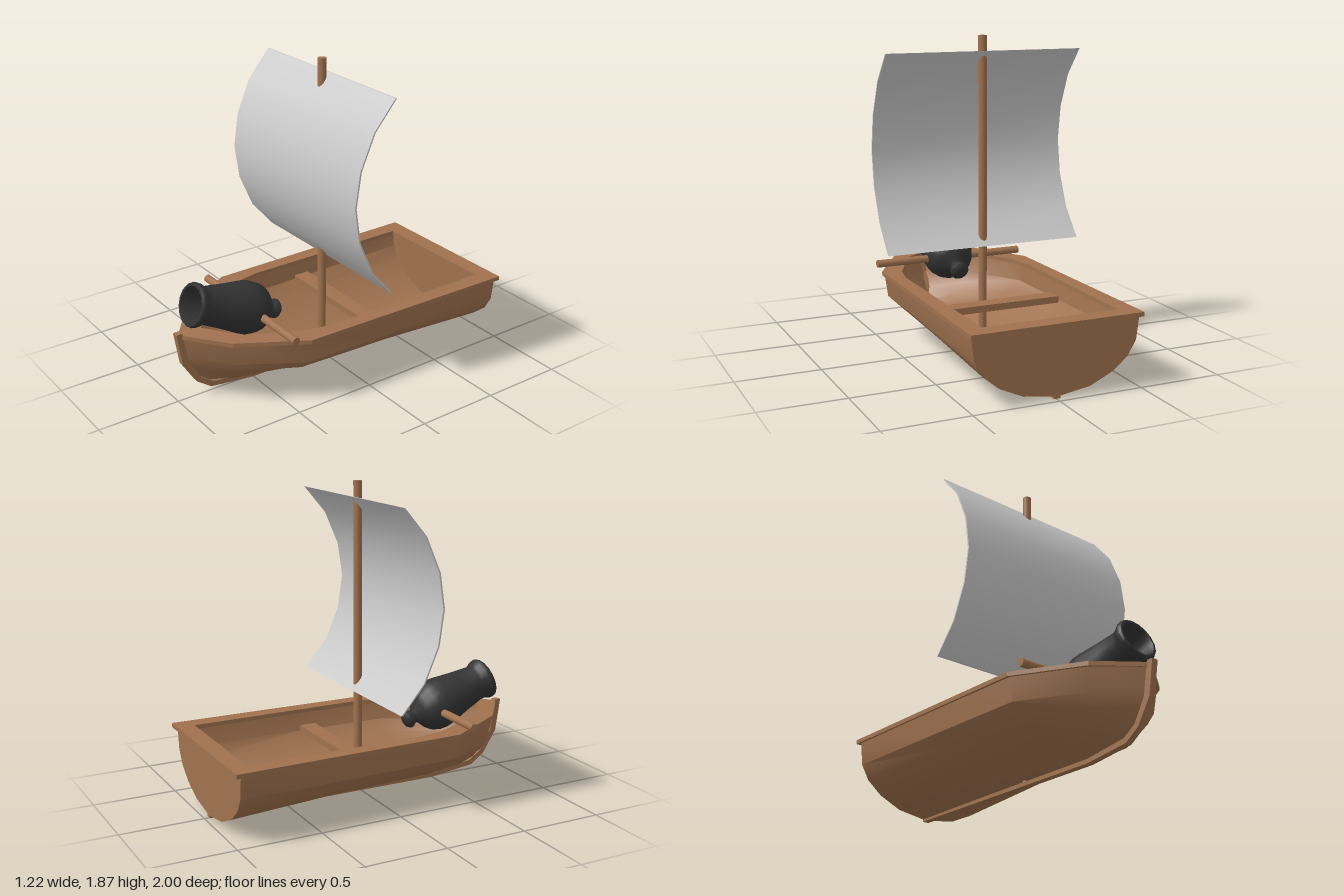
import * as THREE from 'three';
import { toCreasedNormals } from 'three/addons/utils/BufferGeometryUtils.js';

const wood = new THREE.MeshStandardMaterial({ color: 0xa0724f });
const hullWood = new THREE.MeshStandardMaterial({ color: 0xa0724f, side: THREE.DoubleSide });
const iron = new THREE.MeshStandardMaterial({ color: 0x333333 });
const cloth = new THREE.MeshStandardMaterial({ color: 0xcccccc });

const toVectors = (pts) => pts.map(([x, y]) => new THREE.Vector2(x, y));

// Mirrors a half outline that ends on the centre line
const mirrored = (half) => [
  ...half,
  ...half.slice(0, -1).reverse().map(([x, ...rest]) => [-x, ...rest]),
];

function addMesh(parent, name, geometry, material) {
  const mesh = new THREE.Mesh(geometry, material);
  mesh.name = name;
  parent.add(mesh);
  return mesh;
}

// Extrudes a side profile of [z, y] points across x, centred on x = 0
function extrudeAcross(profile, width) {
  const geometry = new THREE.ExtrudeGeometry(new THREE.Shape(toVectors(profile)), {
    depth: width, bevelEnabled: false,
  });
  return geometry.rotateY(-Math.PI / 2).translate(width / 2, 0, 0);
}

// Half sections from rim to keel: [share of half width, height],
// round at the stern, sharper and raised at the bow
const sternSection = [[1, 0.41], [0.965, 0.27], [0.865, 0.185], [0.68, 0.11], [0.4, 0.047], [0, 0.017]];
const bowSection = [[1, 0.41], [0.955, 0.27], [0.81, 0.205], [0.58, 0.15], [0.33, 0.083], [0, 0.027]];
// Where each level meets the stem
const stemZ = [0.975, 0.945, 0.92, 0.885, 0.82, 0.5];
const sternZ = -0.97;
const sternHalfWidth = 0.497;

// Full section between stern (t = 0) and bow (t = 1), with the stem position of each level
const sectionAt = (t) => mirrored(sternSection.map(([x, y], i) => [
  THREE.MathUtils.lerp(x, bowSection[i][0], t),
  THREE.MathUtils.lerp(y, bowSection[i][1], t),
  stemZ[i],
]));

function hullGeometry() {
  // Stations: z at the rim, half width, section blend
  const stations = [
    [sternZ, sternHalfWidth, 0], [-0.2, 0.485, 0.75], [0.4, 0.47, 1], [0.77, 0.25, 1], [0.975, 0, 1],
  ];
  const positions = [];
  const index = [];
  stations.forEach(([z, w, t], i) => {
    const section = sectionAt(t);
    const n = section.length;
    section.forEach(([x, y, zStem], j) => {
      const bowZ = z <= 0.4 ? z : 0.4 + ((z - 0.4) * (zStem - 0.4)) / 0.575;
      positions.push(x * w, y, bowZ);
      if (i < stations.length - 1 && j < n - 1) {
        const a = i * n + j;
        index.push(a, a + n, a + 1, a + 1, a + n, a + n + 1);
      }
    });
  });
  const geometry = new THREE.BufferGeometry();
  geometry.setAttribute('position', new THREE.Float32BufferAttribute(positions, 3));
  geometry.setIndex(index);
  return toCreasedNormals(geometry, 0.55);
}

function createBoat() {
  const boat = new THREE.Group();
  boat.name = 'boat';
  addMesh(boat, 'hull', hullGeometry(), hullWood);

  // Flat stern board
  const outline = sectionAt(0).map(([x, y]) => [x * sternHalfWidth, y]);
  const transom = new THREE.ShapeGeometry(new THREE.Shape(toVectors(outline)));
  addMesh(boat, 'transom', transom.rotateY(Math.PI).translate(0, 0, sternZ), hullWood);

  // Flat rim with an open middle
  const rimShape = new THREE.Shape(toVectors(mirrored(
    [[0.51, -1], [0.485, 0.4], [0.26, 0.78], [0, 0.98]])));
  rimShape.holes.push(new THREE.Path(toVectors(mirrored(
    [[0.405, -0.895], [0.405, 0.2], [0.375, 0.35], [0.21, 0.68], [0, 0.83]]))));
  const rim = new THREE.ExtrudeGeometry(rimShape, { depth: 0.025, bevelEnabled: false });
  addMesh(boat, 'rim', rim.rotateX(Math.PI / 2).translate(0, 0.428, 0), wood);

  // Keel rising into the stem at the bow
  addMesh(boat, 'keel', extrudeAcross([
    [-0.972, 0.006], [0.5, 0.002], [0.79, 0.037], [0.88, 0.1], [0.968, 0.24], [1, 0.44],
    [0.962, 0.44], [0.93, 0.25], [0.855, 0.12], [0.775, 0.067], [0.5, 0.027], [-0.972, 0.024],
  ], 0.04), wood);

  // Seat plank
  const bench = addMesh(boat, 'bench', new THREE.BoxGeometry(0.83, 0.04, 0.1), wood);
  bench.position.set(0, 0.302, -0.15);
  return boat;
}

function createRig() {
  const rig = new THREE.Group();
  rig.name = 'rig';
  const mast = addMesh(rig, 'mast', new THREE.CylinderGeometry(0.025, 0.025, 1.85, 16), wood);
  mast.position.set(0, 0.945, -0.014);

  // Sail bellied forward
  const curve = [[-0.053, 1.782], [0.086, 1.618], [0.174, 1.416], [0.205, 1.21],
    [0.174, 1.004], [0.086, 0.802], [-0.053, 0.638]];
  const back = curve.map(([z, y]) => [z - 0.01, y]).reverse();
  addMesh(rig, 'sail', toCreasedNormals(extrudeAcross([...curve, ...back], 1.215), 0.6), cloth);
  return rig;
}

function createCannon() {
  const cannon = new THREE.Group();
  cannon.name = 'cannon';

  // Barrel profile from the breech knob to the muzzle and down the bore
  const profile = [
    [0, -0.62], [0.04, -0.615], [0.057, -0.597], [0.057, -0.58], [0.044, -0.56], [0.042, -0.545],
    [0.06, -0.53], [0.1, -0.505], [0.13, -0.475], [0.15, -0.43], [0.158, -0.38], [0.153, -0.33],
    [0.128, -0.2], [0.11, -0.085], [0.114, -0.06], [0.128, -0.035], [0.13, -0.012], [0.122, 0],
    [0.108, 0], [0.098, -0.03], [0.09, -0.45], [0, -0.45],
  ];
  const barrelGeometry = toCreasedNormals(new THREE.LatheGeometry(toVectors(profile), 16), 0.7);
  const barrel = addMesh(cannon, 'barrel', barrelGeometry, iron);
  barrel.position.set(0, 0.593, 0.89);
  barrel.rotation.x = 1.235;

  // Cross bar resting on the rim
  const axle = addMesh(cannon, 'axle', new THREE.CylinderGeometry(0.024, 0.024, 0.96, 12), wood);
  axle.rotation.z = Math.PI / 2;
  axle.position.set(0, 0.451, 0.502);
  return cannon;
}

export function createModel() {
  const model = new THREE.Group();
  model.name = 'cannonBoat';
  model.add(createBoat(), createRig(), createCannon());
  return model;
}
